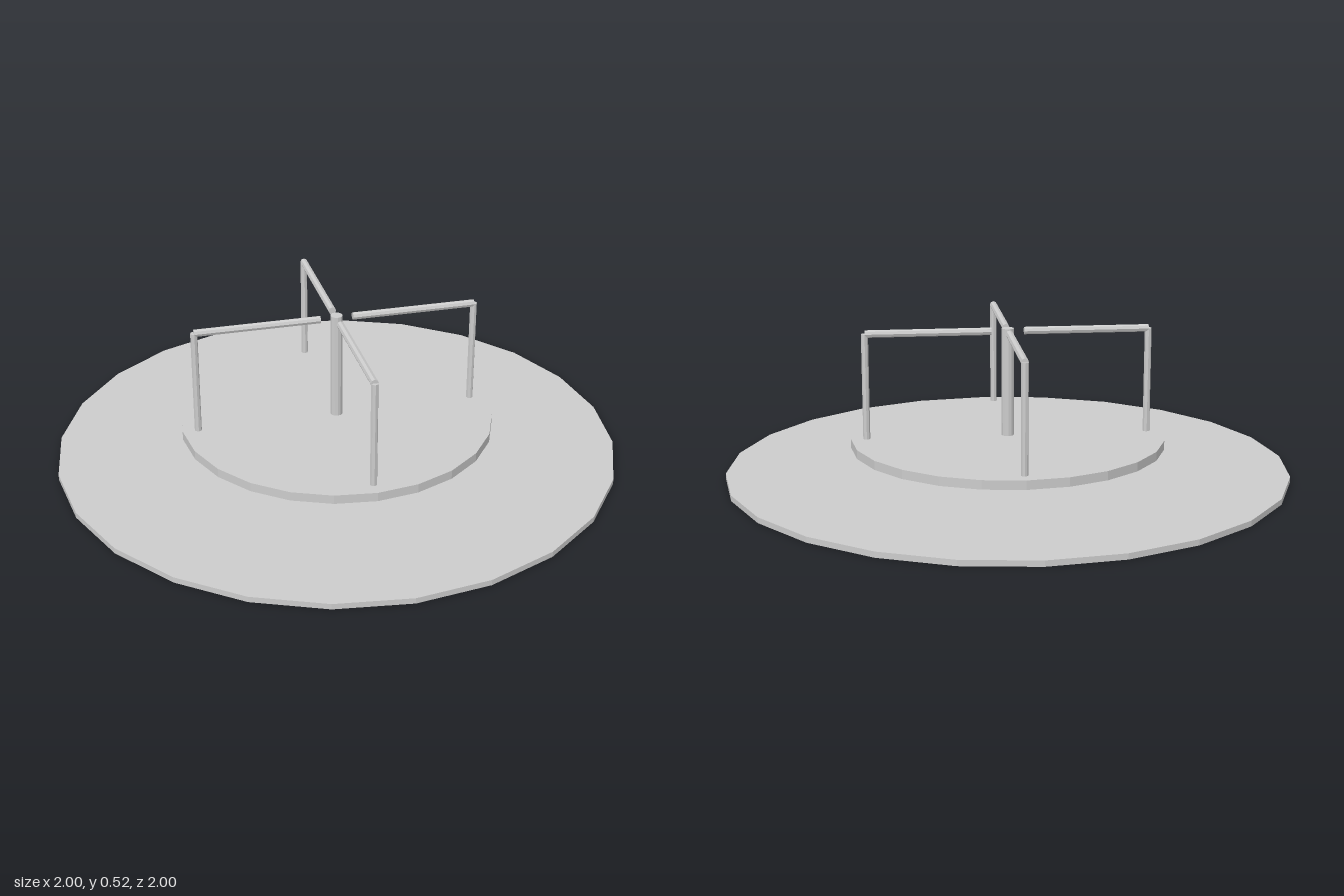
import * as THREE from 'three';

const metal = new THREE.MeshStandardMaterial({ color: 0xcccccc, flatShading: true });
metal.name = 'light grey';

// Upright cylinder spanning y0 to y1
function column(name, radius, y0, y1, sides) {
  const mesh = new THREE.Mesh(new THREE.CylinderGeometry(radius, radius, y1 - y0, sides), metal);
  mesh.name = name;
  mesh.position.y = (y0 + y1) / 2;
  return mesh;
}

export function createModel() {
  const model = new THREE.Group();
  model.name = 'merryGoRound';

  // Ground pad, hub, turning platform and centre post
  model.add(
    column('groundPad', 1, 0, 0.02, 24),
    column('hub', 0.067, 0.02, 0.1, 12),
    column('platform', 0.558, 0.1, 0.132, 24),
    column('centrePost', 0.022, 0.132, 0.52, 12),
  );

  // Four handrails, each an outer upright and a rail pointing to the centre
  for (let i = 0; i < 4; i++) {
    const handrail = new THREE.Group();
    handrail.name = 'handrail' + (i + 1);

    const upright = column('upright', 0.0125, 0.132, 0.51, 8);
    upright.position.x = 0.502;

    const rail = column('rail', 0.0135, 0, 0.444, 8);
    rail.rotation.z = Math.PI / 2;
    rail.position.set(0.28, 0.51, 0);

    handrail.add(upright, rail);
    handrail.rotation.y = (i * Math.PI) / 2;
    model.add(handrail);
  }
  return model;
}
